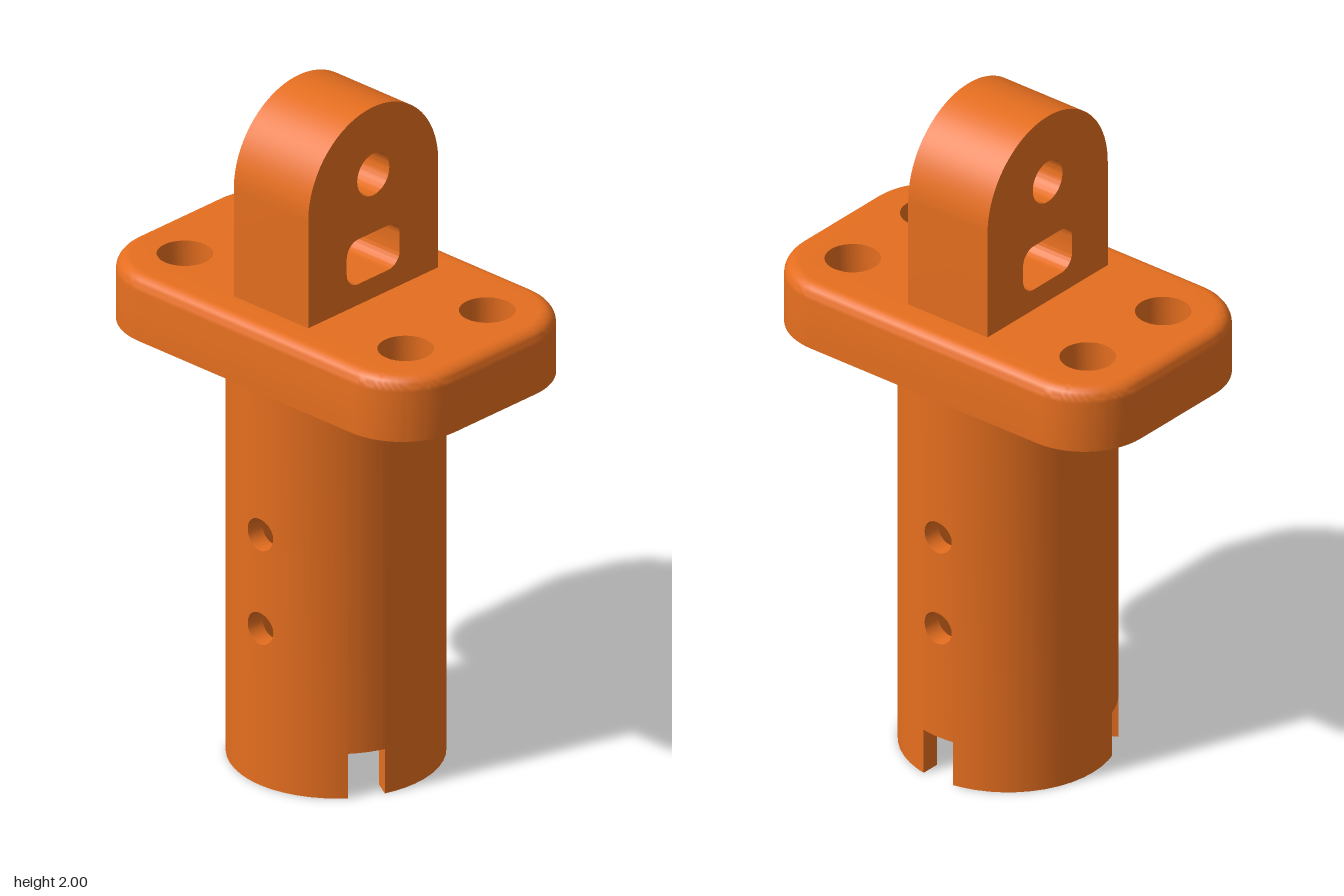
import * as THREE from 'three';
import { toCreasedNormals } from 'three/addons/utils/BufferGeometryUtils.js';

const material = new THREE.MeshStandardMaterial({ color: 0xe56e1f });
const TUBE_TOP = 1.23, PLATE_TOP = 1.42;

function makeMesh(name, geometry) {
  const mesh = new THREE.Mesh(toCreasedNormals(geometry, 0.6), material);
  mesh.name = name;
  return mesh;
}

function roundedRect(path, hw, hh, r, cx = 0, cy = 0) {
  path.moveTo(cx + hw, cy - hh + r);
  path.absarc(cx + hw - r, cy + hh - r, r, 0, Math.PI / 2);
  path.absarc(cx - hw + r, cy + hh - r, r, Math.PI / 2, Math.PI);
  path.absarc(cx - hw + r, cy - hh + r, r, Math.PI, Math.PI * 1.5);
  path.absarc(cx + hw - r, cy - hh + r, r, Math.PI * 1.5, Math.PI * 2);
  return path;
}

const circle = (x, y, r) => new THREE.Path().absarc(x, y, r, 0, Math.PI * 2, true);

// Hollow tube: columns of wall, interrupted by cross holes and three bottom slots
function tubeGeometry() {
  const ro = 0.3, ri = 0.245, slotHalf = 0.052, slotTop = 0.135, holeR = 0.048;
  const holeHeights = [0.475, 0.76], slots = [30, 150, 270], holes = [90, 270];
  const features = [30, 90, 150, 270];

  // Stations around the wall; d is the sideways offset from a feature's axis
  const stations = [];
  for (let a = 0; a <= 360; a += 7.5) {
    if (features.includes(a)) {
      stations.push({ a, d: -slotHalf });
      for (let k = 0; k <= 12; k++) stations.push({ a, d: -holeR * Math.cos(k * Math.PI / 12) });
      stations.push({ a, d: slotHalf });
    } else if (features.every(f => Math.abs(f - a) > 14)) stations.push({ a, d: 0 });
  }

  const pos = [];
  const point = (s, r, y) => {
    const t = THREE.MathUtils.degToRad(s.a) + Math.asin(s.d / r);
    return [r * Math.cos(t), y, r * Math.sin(t)];
  };
  const quad = (a, b, c, d) => pos.push(...a, ...b, ...c, ...a, ...c, ...d);

  for (let i = 0; i < stations.length - 1; i++) {
    const s = stations[i], e = stations[i + 1];
    const same = s.a === e.a;
    const inSlot = same && slots.includes(s.a), inHole = same && holes.includes(s.a);
    // Heights where solid wall starts and ends, in pairs from the bottom up
    const levels = st => {
      const list = [inSlot ? slotTop : 0];
      const h = Math.sqrt(Math.max(0, holeR ** 2 - st.d ** 2));
      if (inHole) for (const y of holeHeights) list.push(y - h, y + h);
      return [...list, TUBE_TOP];
    };
    const ls = levels(s), le = levels(e);
    for (let k = 0; k < ls.length; k += 2) {
      quad(point(s, ro, ls[k]), point(s, ro, ls[k + 1]), point(e, ro, le[k + 1]), point(e, ro, le[k]));
      quad(point(e, ri, le[k]), point(e, ri, le[k + 1]), point(s, ri, ls[k + 1]), point(s, ri, ls[k]));
      quad(point(s, ro, ls[k]), point(e, ro, le[k]), point(e, ri, le[k]), point(s, ri, ls[k]));
      if (k + 2 < ls.length)
        quad(point(s, ri, ls[k + 1]), point(e, ri, le[k + 1]), point(e, ro, le[k + 1]), point(s, ro, ls[k + 1]));
    }
    // Side walls of the slots
    if (inSlot && s.d === -slotHalf)
      quad(point(s, ri, 0), point(s, ro, 0), point(s, ro, slotTop), point(s, ri, slotTop));
    if (inSlot && e.d === slotHalf)
      quad(point(e, ri, slotTop), point(e, ro, slotTop), point(e, ro, 0), point(e, ri, 0));
  }
  const geometry = new THREE.BufferGeometry();
  geometry.setAttribute('position', new THREE.Float32BufferAttribute(pos, 3));
  return geometry;
}

// Mounting plate: four holes, upper rim rounded over by pulling the wall rows inward
function plateGeometry() {
  const hx = 0.6, hz = 0.357, corner = 0.2, fillet = 0.04, rows = 6;
  const shape = roundedRect(new THREE.Shape(), hx, hz, corner);
  for (const x of [-0.415, 0.415])
    for (const z of [-0.16, 0.16]) shape.holes.push(circle(x, z, 0.077));
  const steps = rows + 1;
  const geometry = new THREE.ExtrudeGeometry(shape, { depth: steps, steps, bevelEnabled: false, curveSegments: 16 });
  geometry.rotateX(-Math.PI / 2);
  const p = geometry.attributes.position;
  for (let i = 0; i < p.count; i++) {
    const row = Math.round(p.getY(i));
    const t = Math.max(0, row - 1) / rows * Math.PI / 2;
    p.setY(i, row === 0 ? TUBE_TOP : PLATE_TOP - fillet + fillet * Math.sin(t));
    const x = p.getX(i), z = p.getZ(i);
    const cx = THREE.MathUtils.clamp(x, corner - hx, hx - corner);
    const cz = THREE.MathUtils.clamp(z, corner - hz, hz - corner);
    if (Math.hypot(x - cx, z - cz) > corner - 0.01) {
      const k = 1 - fillet * (1 - Math.cos(t)) / corner;
      p.setX(i, cx + (x - cx) * k);
      p.setZ(i, cz + (z - cz) * k);
    }
  }
  return geometry;
}

// Round-topped lug with a pin hole and a strap slot
function lugGeometry() {
  const r = 0.255, width = 0.28;
  const shape = new THREE.Shape();
  shape.moveTo(-r, PLATE_TOP);
  shape.lineTo(r, PLATE_TOP);
  shape.absarc(0, 2 - r, r, 0, Math.PI);
  shape.closePath();
  shape.holes.push(circle(0, 1.795, 0.063));
  shape.holes.push(roundedRect(new THREE.Path(), 0.104, 0.068, 0.045, 0, 1.551));
  const geometry = new THREE.ExtrudeGeometry(shape, { depth: width, bevelEnabled: false, curveSegments: 28 });
  return geometry.translate(0, 0, -width / 2).rotateY(Math.PI / 2);
}

export function createModel() {
  const group = new THREE.Group();
  group.name = 'tubeMountWithLug';
  group.add(makeMesh('slottedTube', tubeGeometry()));
  group.add(makeMesh('mountingPlate', plateGeometry()));
  group.add(makeMesh('lug', lugGeometry()));
  return group;
}
